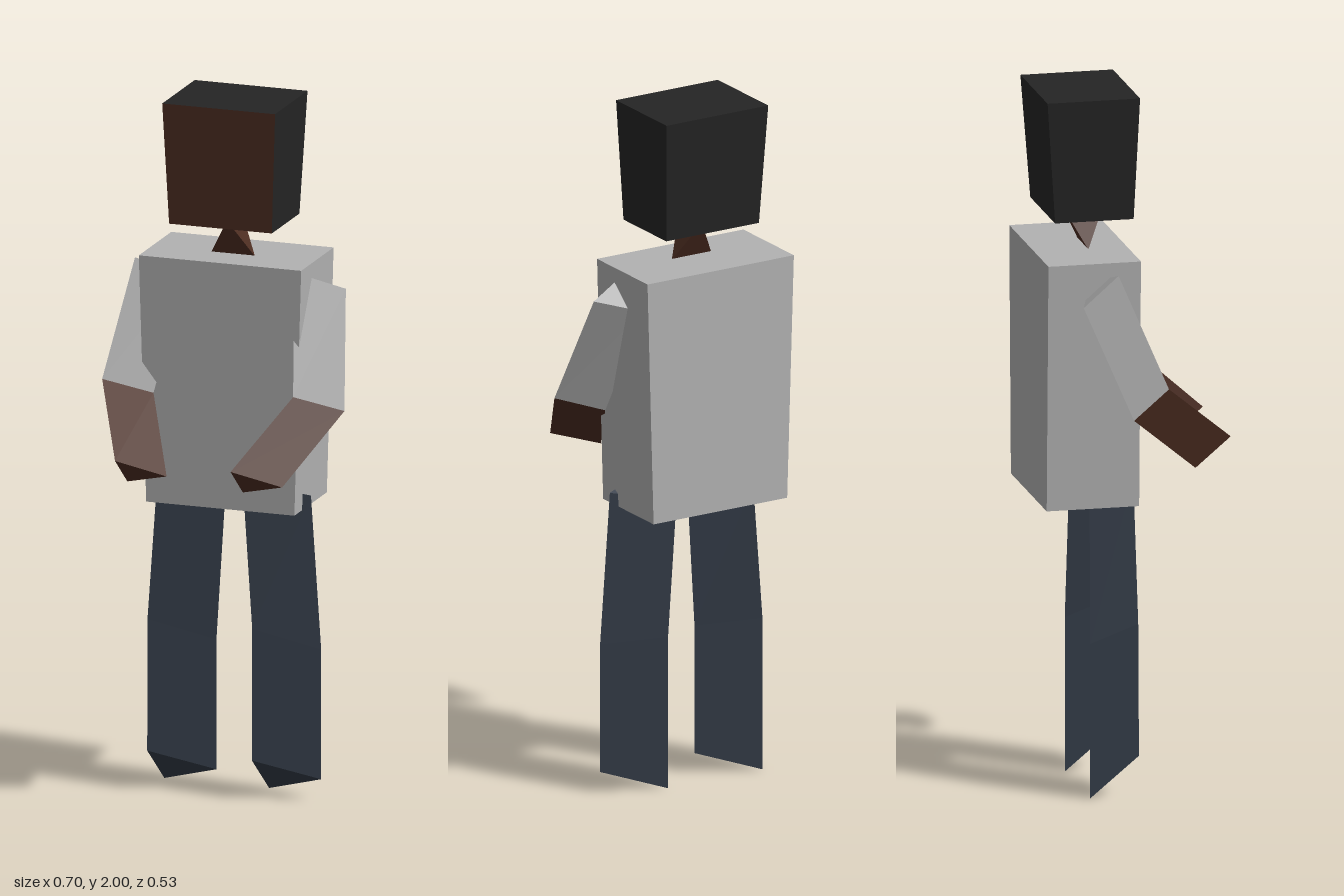
import * as THREE from 'three';

const paint = (name, color) => {
  const m = new THREE.MeshStandardMaterial({ color });
  m.name = name;
  return m;
};

// Flat-faced loft through rings listed bottom to top, each counterclockwise seen from above.
// Group 0 holds the sides after the first, group 1 the first side and the bottom cap.
function loft(rings) {
  const groups = [[], []];
  const tri = (g, a, b, c) => {
    const v = [a, b, c].map((p) => new THREE.Vector3(...p));
    const n = v[1].clone().sub(v[0]).cross(v[2].clone().sub(v[0]));
    if (n.length() > 1e-7) groups[g].push(...a, ...b, ...c);
  };
  const n = rings[0].length;
  const last = rings[rings.length - 1];
  for (let r = 0; r + 1 < rings.length; r++) {
    for (let i = 0; i < n; i++) {
      const j = (i + 1) % n;
      const g = i === 0 ? 1 : 0;
      tri(g, rings[r][i], rings[r][j], rings[r + 1][j]);
      tri(g, rings[r][i], rings[r + 1][j], rings[r + 1][i]);
    }
  }
  for (let i = 1; i + 1 < n; i++) {
    tri(1, rings[0][0], rings[0][i + 1], rings[0][i]);
    tri(0, last[0], last[i], last[i + 1]);
  }
  const geo = new THREE.BufferGeometry();
  geo.setAttribute('position', new THREE.Float32BufferAttribute(groups.flat(), 3));
  geo.addGroup(0, groups[0].length / 3, 0);
  geo.addGroup(groups[0].length / 3, groups[1].length / 3, 1);
  geo.computeVertexNormals();
  return geo;
}

// Rectangular ring, starting at the front edge
const rect = (y, x0, x1, zBack, zFront) =>
  [[x0, y, zFront], [x1, y, zFront], [x1, y, zBack], [x0, y, zBack]];

// Triangular limb ring: front and back corners at x, third corner w to the side
const wedge = (x, w, [yF, zF], [yS, zS], [yB, zB]) =>
  [[x, yF, zF], [x + w, yS, zS], [x, yB, zB]];

export function createModel() {
  const group = new THREE.Group();
  const shirt = paint('shirt grey', 0xb2b2b2);
  const skin = paint('brown skin', 0x4e2e22);
  const hair = paint('black hair', 0x242424);
  const denim = paint('dark blue trousers', 0x343c48);

  const add = (name, rings, side, front = side) => {
    const mesh = new THREE.Mesh(loft(rings), side === front ? side : [side, front]);
    mesh.name = name;
    group.add(mesh);
  };

  // Head: skin on the face and underside, hair elsewhere
  add('head', [
    rect(1.65, -0.175, 0.13, -0.225, 0),
    rect(2, -0.19, 0.145, -0.25, 0.015),
  ], hair, skin);

  // Neck: crossed edges, wide at the bottom and deep at the top
  const [nl, nr] = [[-0.09, 1.547, -0.11], [0.04, 1.547, -0.11]];
  const [nf, nb] = [[-0.022, 1.66, -0.05], [-0.022, 1.66, -0.17]];
  add('neck', [[nl, nr, nr, nl], [nf, nf, nb, nb]], skin);

  add('torso', [
    rect(0.84, -0.243, 0.197, -0.265, 0),
    rect(1.55, -0.265, 0.217, -0.265, 0),
  ], shirt);

  // Arms: x of the hand, elbow and shoulder on each side
  for (const [label, xs] of [
    ['left', [0.103, 0.215, 0.17]],
    ['right', [-0.24, -0.352, -0.303]],
  ]) {
    const w = 0.135;
    const hand = wedge(xs[0], w, [1.025, 0.263], [0.98, 0.213], [0.94, 0.162]);
    const elbow = wedge(xs[1], w, [1.2, 0.06], [1.16, 0.012], [1.115, -0.04]);
    const shoulder = wedge(xs[2], w, [1.522, -0.073], [1.475, -0.123], [1.435, -0.173]);
    add(label + 'Forearm', [hand, elbow], skin);
    add(label + 'Sleeve', [elbow, shoulder], shirt);
  }

  // Legs: x of the foot, knee and hip on each side
  for (const [label, xs] of [
    ['left', [0.071, 0.071, 0.04]],
    ['right', [-0.24, -0.24, -0.213]],
  ]) {
    const w = 0.18;
    add(label + 'Leg', [
      wedge(xs[0], w, [0.12, 0], [0.065, -0.07], [0.005, -0.14]),
      wedge(xs[1], w, [0.5, -0.002], [0.44, -0.07], [0.45, -0.14]),
      wedge(xs[2], w, [0.92, -0.01], [0.882, -0.072], [0.845, -0.135]),
    ], denim);
  }
  return group;
}
